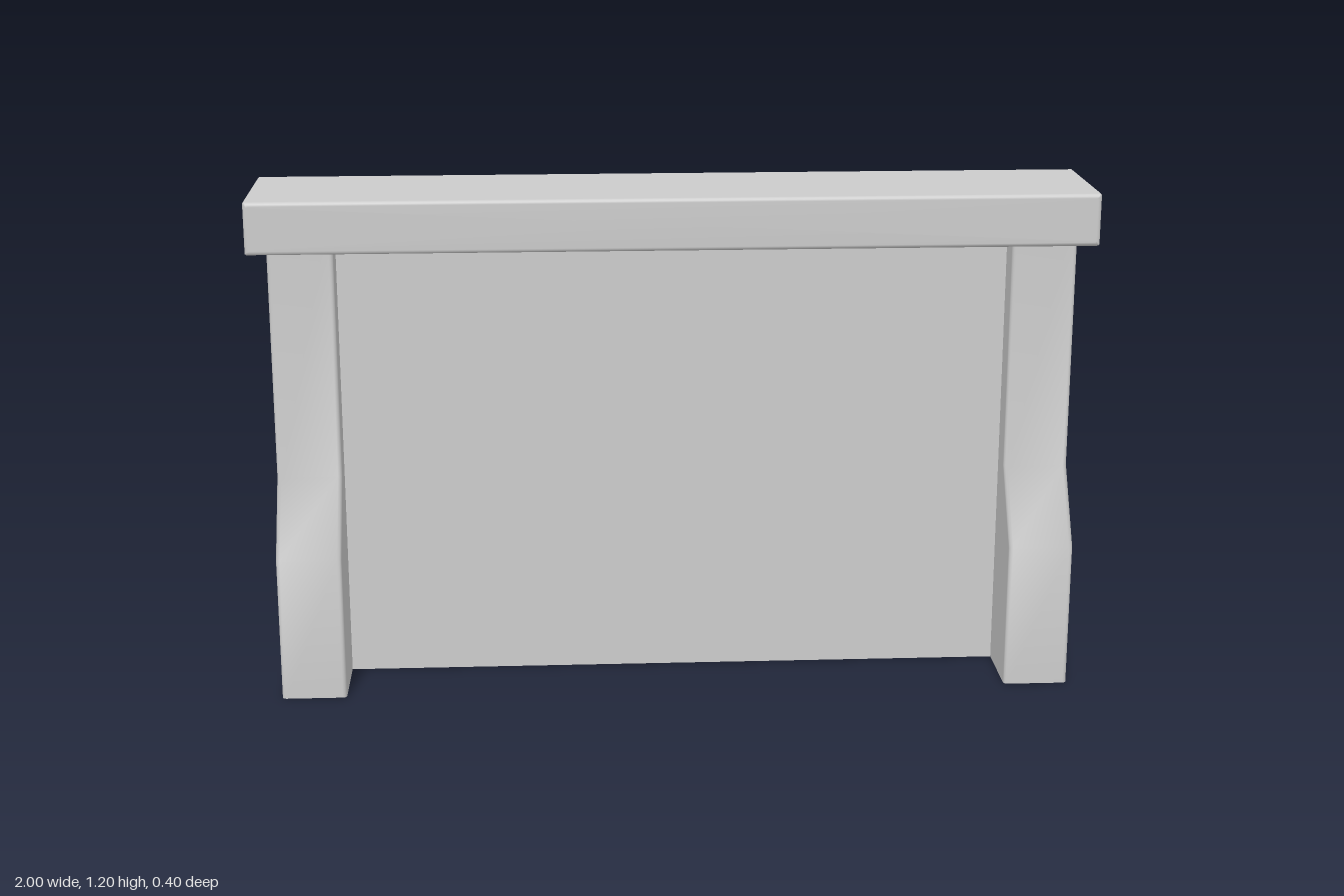
import * as THREE from 'three';

const material = new THREE.MeshStandardMaterial({ color: 0xcccccc, side: THREE.DoubleSide });

// Skin a list of equal-length point rings; closed joins each ring's ends
function loft(rings, closed) {
  const n = rings[0].length, index = [];
  for (let i = 0; i < rings.length - 1; i++) {
    for (let j = 0; j < (closed ? n : n - 1); j++) {
      const k = (j + 1) % n;
      const a = i * n + j, b = i * n + k, c = a + n, d = b + n;
      index.push(a, b, d, a, d, c);
    }
  }
  const geometry = new THREE.BufferGeometry();
  geometry.setAttribute('position', new THREE.Float32BufferAttribute(rings.flat(2), 3));
  geometry.setIndex(index);
  geometry.computeVertexNormals();
  return geometry;
}

function addMesh(group, name, geometry) {
  const mesh = new THREE.Mesh(geometry, material);
  mesh.name = name;
  group.add(mesh);
  return mesh;
}

// Mantel shelf: a hollow box open at the back, with softly rounded front edges
function shelfGeometry() {
  const y0 = 1.075, y1 = 1.2, back = -0.2, front = 0.13, r = 0.01;
  const ym = (y0 + y1) / 2, hx = 1, hy = (y1 - y0) / 2, c = 0.003;
  const ring = (z, inset) => {
    const x = hx - inset, y = hy - inset;
    return [
      [x, -y + c], [x, y - c], [x - c, y], [-x + c, y],
      [-x, y - c], [-x, -y + c], [-x + c, -y], [x - c, -y],
    ].map(([px, py]) => [px, ym + py, z]);
  };
  const rings = [ring(back, 0)];
  for (let i = 0; i <= 3; i++) {
    const t = (i / 3) * Math.PI / 2;
    rings.push(ring(front - r + r * Math.sin(t), r * (1 - Math.cos(t))));
  }
  rings.push(rings[0].map(() => [0, ym, front])); // front face
  return loft(rings, true);
}

// Pilaster: a U-shaped channel, open at the back, stepping forward at its foot
function pilasterGeometry(x0, x1) {
  const back = -0.19, r = 0.01;
  const levels = [[0, 0.2], [0.35, 0.2], [0.525, 0.09], [1.14, 0.09]];
  return loft(levels.map(([y, z]) => {
    const points = [[x0, y, back]];
    for (let i = 0; i <= 3; i++) {
      const t = (i / 3) * Math.PI / 2;
      points.push([x0 + r * (1 - Math.cos(t)), y, z - r + r * Math.sin(t)]);
    }
    for (let i = 3; i >= 0; i--) {
      const t = (i / 3) * Math.PI / 2;
      points.push([x1 - r * (1 - Math.cos(t)), y, z - r + r * Math.sin(t)]);
    }
    points.push([x1, y, back]);
    return points;
  }), false);
}

export function createModel() {
  const group = new THREE.Group();
  group.name = 'mantelpiece';

  addMesh(group, 'shelf', shelfGeometry());
  addMesh(group, 'leftPilaster', pilasterGeometry(0.8, 0.955));
  addMesh(group, 'rightPilaster', pilasterGeometry(-0.955, -0.8));

  // Thin panel between the pilasters
  const height = 1.1;
  const panel = addMesh(group, 'panel', new THREE.PlaneGeometry(1.6, height));
  panel.position.set(0, height / 2, 0.02);

  return group;
}
